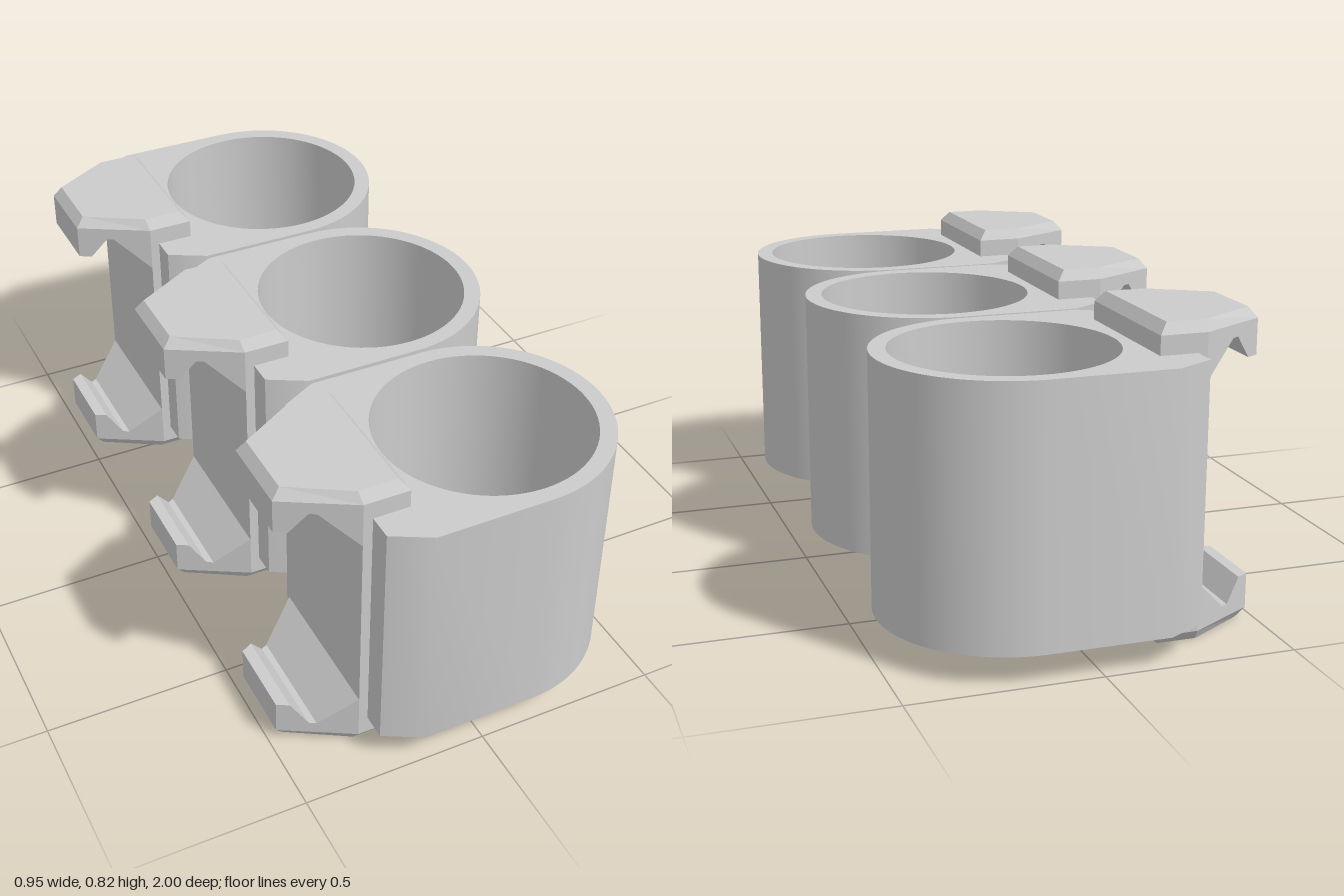
import * as THREE from 'three';
import { toCreasedNormals } from 'three/addons/utils/BufferGeometryUtils.js';

const material = new THREE.MeshStandardMaterial({ color: 0xcccccc });
const HEIGHT = 0.818;

function polygon(points) {
  return new THREE.Shape(points.map(([x, y]) => new THREE.Vector2(x, y)));
}

function extrude(shape, depth, curveSegments = 12) {
  return new THREE.ExtrudeGeometry(shape, { depth, bevelEnabled: false, curveSegments });
}

function reshape(geometry, rule) {
  const p = geometry.attributes.position;
  const v = new THREE.Vector3();
  for (let i = 0; i < p.count; i++) {
    rule(v.fromBufferAttribute(p, i));
    p.setXYZ(i, v.x, v.y, v.z);
  }
  geometry.computeVertexNormals();
  return geometry;
}

function part(name, geometry) {
  const mesh = new THREE.Mesh(geometry, material);
  mesh.name = name;
  return mesh;
}

// Round sleeve with a squared, chamfered back and a through hole
function sleeveGeometry() {
  const shape = new THREE.Shape();
  shape.moveTo(-0.27, -0.275);
  shape.lineTo(-0.17, -0.329);
  shape.lineTo(0.145, -0.329);
  shape.absarc(0.145, 0, 0.329, -Math.PI / 2, Math.PI / 2, false);
  shape.lineTo(-0.17, 0.329);
  shape.lineTo(-0.27, 0.275);
  shape.closePath();
  const hole = new THREE.Path();
  hole.absarc(0.145, 0, 0.285, 0, Math.PI * 2, true);
  shape.holes.push(hole);
  const geometry = extrude(shape, 0.664, 40);
  geometry.rotateX(-Math.PI / 2);
  geometry.translate(0, 0.077, 0);
  return toCreasedNormals(geometry, 0.5);
}

// Hook reaching outward, narrowing towards its tip
function hookGeometry() {
  const profile = polygon([
    [-0.295, 0.79], [-0.478, 0.79], [-0.478, 0.697], [-0.447, 0.697],
    [-0.405, 0.757], [-0.388, 0.757], [-0.295, 0.665],
  ]);
  return reshape(extrude(profile, 1), (v) => {
    const t = (-0.295 - v.x) / 0.183;
    v.z = (v.z > 0.5 ? 1 : -1) * THREE.MathUtils.lerp(0.207, 0.104, t);
  });
}

// Chamfered plate closing the end of the bracket
function capGeometry() {
  const plan = polygon([
    [-0.172, -0.207], [-0.172, 0.207], [-0.295, 0.207],
    [-0.478, 0.104], [-0.478, -0.104], [-0.295, -0.207],
  ]);
  const geometry = extrude(plan, 0.028);
  geometry.rotateX(-Math.PI / 2);
  return reshape(geometry, (v) => {
    if (v.y > 0.014) {
      v.x = -0.325 + (v.x + 0.325) * 0.85;
      v.z *= 0.9;
    }
    v.y += 0.79;
  });
}

export function createModel() {
  const model = new THREE.Group();
  model.name = 'tripleHolder';
  const sleeve = sleeveGeometry();
  const hook = hookGeometry();
  const cap = capGeometry();
  const spine = new THREE.BoxGeometry(0.123, HEIGHT - 0.056, 0.414);
  spine.translate(-0.2335, HEIGHT / 2, 0);

  for (const z of [-0.671, 0, 0.671]) {
    const holder = new THREE.Group();
    holder.name = 'holder';
    holder.position.z = z;
    holder.add(part('sleeve', sleeve), part('bracketSpine', spine));

    // Upper clip and its upside-down twin
    for (const lower of [false, true]) {
      const clip = new THREE.Group();
      clip.name = lower ? 'lowerClip' : 'upperClip';
      clip.add(part('hook', hook), part('clipCap', cap));
      if (lower) {
        clip.rotation.x = Math.PI;
        clip.position.y = HEIGHT;
      }
      holder.add(clip);
    }
    model.add(holder);
  }
  return model;
}
